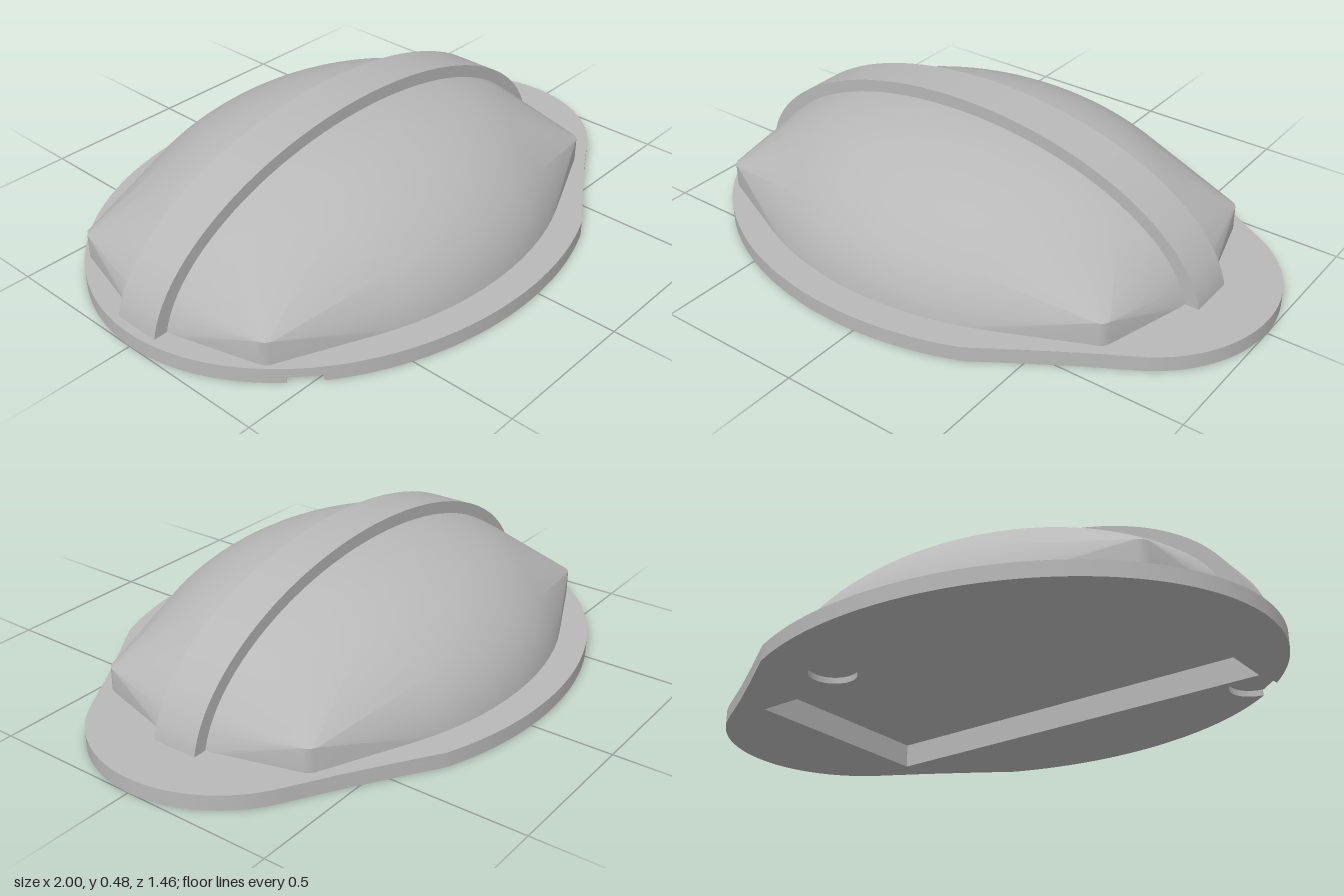
import * as THREE from 'three';
import { toCreasedNormals } from 'three/addons/utils/BufferGeometryUtils.js';
import { ConvexGeometry } from 'three/addons/geometries/ConvexGeometry.js';

const CX = -0.08;          // centre of the shell along x
const PLATE = 0.05;        // plate thickness
const SOCKET = 0.02;       // depth of the round sockets
const POCKET = { w: 1.42, d: 0.72, h: 0.082 };
const V2 = (x, y) => new THREE.Vector2(x, y);

// Plan outline: large ellipse flowing into a rounded tongue at +x (counter-clockwise)
function plateOutline() {
  const half = [];
  for (let i = 0; i <= 40; i++) {
    const a = (i / 40) * Math.PI / 3;
    half.push(V2(0.55 + 0.45 * Math.cos(a), 0.44 * Math.sin(a)));
  }
  half.push(V2(0.64, 0.46), V2(0.5, 0.548));
  for (let i = 0; i <= 200; i++) {
    const a = THREE.MathUtils.degToRad(62 + (118 * i) / 200);
    half.push(V2(CX + 0.92 * Math.cos(a), 0.73 * Math.sin(a)));
  }
  const mirrored = half.slice(1, -1).reverse().map(p => V2(p.x, -p.y));
  return [...half, ...mirrored];
}

// Cut a round bite out of an outline where a circle crosses it
function biteOutline(points, c, r) {
  const inside = points.map(p => p.distanceTo(c) < r);
  const first = inside.indexOf(true), last = inside.lastIndexOf(true);
  if (first < 1) return points;
  const angle = p => Math.atan2(p.y - c.y, p.x - c.x);
  const a0 = angle(points[first - 1]);
  let a1 = angle(points[last + 1]);
  while (a1 > a0) a1 -= 2 * Math.PI;
  const arc = [];
  for (let i = 0; i <= 40; i++) {
    const a = a0 + ((a1 - a0) * i) / 40;
    arc.push(V2(c.x + r * Math.cos(a), c.y + r * Math.sin(a)));
  }
  return [...points.slice(0, first), ...arc, ...points.slice(last + 1)];
}

function pocketPath() {
  const x = POCKET.w / 2, y = POCKET.d / 2;
  return new THREE.Path([V2(CX - x, -y), V2(CX - x, y), V2(CX + x, y), V2(CX + x, -y)]);
}

// One horizontal layer of the plate
function layer(outline, holes, y0, y1) {
  const shape = new THREE.Shape(outline);
  shape.holes.push(...holes);
  const geo = new THREE.ExtrudeGeometry(shape, { depth: y1 - y0, bevelEnabled: false, curveSegments: 32 });
  geo.rotateX(-Math.PI / 2).translate(0, y0, 0);
  return toCreasedNormals(geo, 0.5);
}

// Half ellipsoid stretched over four short corner posts
function domeGeometry() {
  const pts = [], rx = 0.856, ry = 0.443, rz = 0.634;
  const start = Math.asin(PLATE / ry), rings = 24, sides = 80;
  for (let j = 0; j < rings; j++) {
    const e = start + ((Math.PI / 2 - start) * j) / rings;
    for (let i = 0; i < sides; i++) {
      const a = (i / sides) * Math.PI * 2;
      pts.push(new THREE.Vector3(
        CX + rx * Math.cos(e) * Math.cos(a),
        j === 0 ? PLATE : ry * Math.sin(e),
        rz * Math.cos(e) * Math.sin(a)));
    }
  }
  pts.push(new THREE.Vector3(CX, ry, 0));
  for (const sx of [-1, 1]) for (const sz of [-1, 1]) for (const y of [PLATE, 0.13]) {
    for (let i = 0; i < 24; i++) {
      const a = (i / 24) * Math.PI * 2;
      pts.push(new THREE.Vector3(
        CX + sx * (0.72 + 0.045 * Math.cos(a)), y, sz * (0.365 + 0.045 * Math.sin(a))));
    }
  }
  const hull = new ConvexGeometry(pts);
  // Leave the underside open so the pocket can rise into the shell
  const p = hull.attributes.position, kept = [];
  for (let i = 0; i < p.count; i += 3) {
    if (Math.max(p.getY(i), p.getY(i + 1), p.getY(i + 2)) < PLATE + 1e-4) continue;
    for (let k = i; k < i + 3; k++) kept.push(p.getX(k), p.getY(k), p.getZ(k));
  }
  const geo = new THREE.BufferGeometry();
  geo.setAttribute('position', new THREE.Float32BufferAttribute(kept, 3));
  return toCreasedNormals(geo, 0.45);
}

// Raised band arching over the shell from end to end
function bandGeometry() {
  const arc = (rx, ry) => {
    const s = Math.asin(PLATE / ry), out = [];
    for (let i = 0; i <= 80; i++) {
      const a = s + ((Math.PI - 2 * s) * i) / 80;
      out.push(V2(CX + rx * Math.cos(a), ry * Math.sin(a)));
    }
    return out;
  };
  const shape = new THREE.Shape([...arc(0.895, 0.482), ...arc(0.82, 0.41).reverse()]);
  const geo = new THREE.ExtrudeGeometry(shape, { depth: 0.16, bevelEnabled: false });
  return toCreasedNormals(geo.translate(0, 0, -0.08), 0.5);
}

// Pocket lining seen from below: four walls and a ceiling, no floor
function pocketGeometry() {
  const h = POCKET.h - PLATE;
  const geo = new THREE.BoxGeometry(POCKET.w, h, POCKET.d);
  geo.translate(CX, PLATE + h / 2, 0);
  const index = Array.from(geo.index.array);
  index.splice(18, 6);                       // drop the bottom face
  for (let i = 0; i < index.length; i += 3) [index[i], index[i + 1]] = [index[i + 1], index[i]];
  geo.setIndex(index);
  geo.clearGroups();
  const n = geo.attributes.normal;
  for (let i = 0; i < n.count; i++) n.setXYZ(i, -n.getX(i), -n.getY(i), -n.getZ(i));
  return geo;
}

export function createModel() {
  const model = new THREE.Group();
  model.name = 'domedShell';
  const grey = new THREE.MeshStandardMaterial({ color: 0xb8b8b8 });
  grey.name = 'grey';
  const add = (name, geo) => {
    const mesh = new THREE.Mesh(geo, grey);
    mesh.name = name;
    model.add(mesh);
  };

  // Base plate: lower layer carries a round socket and a socket that breaks the rim
  const outline = plateOutline();
  const socket = new THREE.Path().absarc(0.25, 0.44, 0.076, 0, Math.PI * 2, true);
  const bitten = biteOutline(outline, V2(-0.73, -0.44), 0.076);
  add('plateLower', layer(bitten, [pocketPath(), socket], 0, SOCKET));
  add('plateUpper', layer(outline, [pocketPath()], SOCKET, PLATE));

  add('dome', domeGeometry());
  add('band', bandGeometry());
  add('pocket', pocketGeometry());
  return model;
}
